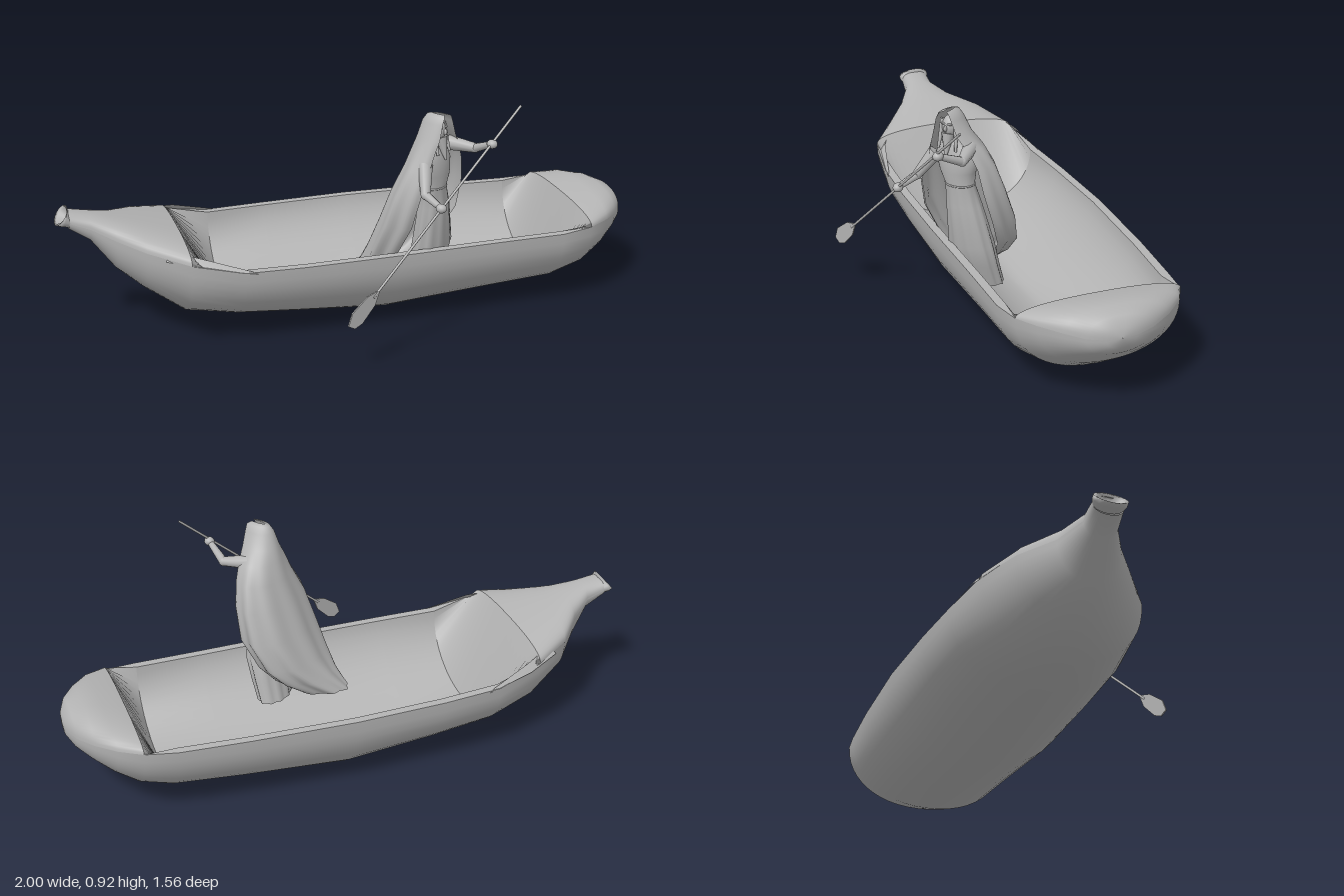
import * as THREE from 'three';

const stone = new THREE.MeshStandardMaterial({ color: 0xb4b4b4, side: THREE.DoubleSide });
stone.name = 'plain grey';
const V = (x, y, z) => new THREE.Vector3(x, y, z);

// Skin over a row of rings that all have the same point count
function loft(rings, closed = false) {
  const n = rings[0].length, pos = [], idx = [];
  rings.forEach(r => r.forEach(p => pos.push(p.x, p.y, p.z)));
  for (let i = 0; i < rings.length - 1; i++) {
    for (let j = 0; j < (closed ? n : n - 1); j++) {
      const a = i * n + j, b = i * n + (j + 1) % n;
      idx.push(a, b, a + n, b, b + n, a + n);
    }
  }
  const g = new THREE.BufferGeometry();
  g.setAttribute('position', new THREE.Float32BufferAttribute(pos, 3));
  g.setIndex(idx);
  g.computeVertexNormals();
  return g;
}

function add(parent, name, geometry) {
  const m = new THREE.Mesh(geometry, stone);
  m.name = name;
  parent.add(m);
  return m;
}

function ball(parent, name, p, rx, ry, rz) {
  const m = add(parent, name, new THREE.SphereGeometry(1, 16, 12));
  m.position.copy(p);
  m.scale.set(rx, ry, rz);
  return m;
}

// Tapered round limb or rod between two points
function rod(parent, name, a, b, ra, rb) {
  const d = b.clone().sub(a);
  const m = add(parent, name, new THREE.CylinderGeometry(rb, ra, d.length(), 10));
  m.position.copy(a).addScaledVector(d, 0.5);
  m.quaternion.setFromUnitVectors(V(0, 1, 0), d.normalize());
}

// Boat frame: u runs from stem to stern, v across
const P = (u, y, v) => V(0.81 * u + 0.588 * v, y, 0.588 * u - 0.81 * v);
const N = 24;
const pw = (x, e) => Math.sign(x) * Math.pow(Math.abs(x), e);
// Half section from rim to rim through height mid; e > 1 turns it towards a V
const section = (u, half, mid, rim, vc, e) => Array.from({ length: N + 1 }, (_, i) => {
  const t = Math.PI * i / N;
  return P(u, rim + (mid - rim) * pw(Math.sin(t), e), vc + half * pw(Math.cos(t), e));
});

// u, half width, keel, rim, crest, centre v, trough roundness
const stations = [
  [-1.17, 0.06, 0.47, 0.505, 0.54, 0.03],
  [-1.09, 0.066, 0.415, 0.475, 0.527, 0.025],
  [-1.0, 0.125, 0.29, 0.435, 0.503, 0.03],
  [-0.9, 0.22, 0.2, 0.405, 0.477, 0.045],
  [-0.75, 0.316, 0.1, 0.378, 0.437, 0.028],
  [-0.55, 0.355, 0.062, 0.333, 0, 0.045, 0.95],
  [-0.3, 0.368, 0.036, 0.33, 0, 0.05, 1.2],
  [0.07, 0.373, 0, 0.33, 0, 0.055, 1.3],
  [0.5, 0.36, 0.03, 0.33, 0, 0.05, 1.2],
  [0.78, 0.348, 0.05, 0.33, 0, 0.04, 0.95],
  [0.91, 0.328, 0.09, 0.338, 0.385, 0.04],
  [1.0, 0.278, 0.15, 0.342, 0.41, 0.04],
  [1.07, 0.205, 0.205, 0.335, 0.412, 0.035],
  [1.12, 0.13, 0.245, 0.325, 0.395, 0.025],
  [1.145, 0.06, 0.28, 0.32, 0.36, 0.02],
  [1.15, 0.001, 0.319, 0.32, 0.321, 0.02],
];

function buildBoat() {
  const boat = new THREE.Group();
  boat.name = 'boat';
  const lower = s => section(s[0], s[1], s[2], s[3], s[5], 0.92);
  const upper = s => section(s[0], s[1], s[4], s[3], s[5], 0.85);
  const trough = s => section(s[0], s[1] - 0.035, s[2] + 0.02, s[3], s[5], s[6]);
  add(boat, 'hull', loft(stations.map(lower)));
  add(boat, 'stemDeck', loft(stations.slice(0, 5).map(upper)));
  add(boat, 'sternDeck', loft(stations.slice(10).map(upper)));
  add(boat, 'troughInside', loft(stations.slice(5, 10).map(trough)));
  // End walls sloping from the trough up to each deck edge
  add(boat, 'stemEndWall', loft([upper(stations[4]), trough(stations[5])]));
  add(boat, 'sternEndWall', loft([trough(stations[9]), upper(stations[10])]));
  // Rim along each side, with a peeled flap by the stem
  for (const s of [1, -1]) {
    const rim = stations.slice(4, 11).map(([u, h, , y, , c], i) =>
      [P(u, y, c + s * h), P(u, y, c + s * (h - (i === 0 || i === 6 ? 0 : 0.035)))]);
    add(boat, 'rim', loft(rim));
    add(boat, 'stemFlap', loft([
      [P(-0.84, 0.385, 0.04 + s * 0.268), P(-0.81, 0.415, 0.04 + s * 0.25)],
      [P(-0.7, 0.36, 0.04 + s * 0.33), P(-0.7, 0.392, 0.04 + s * 0.305)],
      [P(-0.5, 0.325, 0.045 + s * 0.36), P(-0.52, 0.335, 0.045 + s * 0.35)],
    ]));
  }
  // Hollow stem tip, tilted up and outward
  const tipRing = (u, y, r, lift) => Array.from({ length: 16 }, (_, i) => {
    const a = i / 16 * Math.PI * 2, k = Math.sin(a);
    return P(u + k * lift, y + k * r * 0.5, 0.03 + Math.cos(a) * r);
  });
  add(boat, 'stemTip', loft([
    tipRing(-1.165, 0.506, 0.06, 0), tipRing(-1.185, 0.515, 0.068, 0.012),
    tipRing(-1.195, 0.522, 0.066, 0.026), tipRing(-1.19, 0.52, 0.05, 0.022),
    tipRing(-1.17, 0.51, 0.035, 0.01), tipRing(-1.165, 0.508, 0.001, 0),
  ], true));
  return boat;
}

function buildRower() {
  const rower = new THREE.Group();
  rower.name = 'rower';
  // Robe: y, centre x, centre z, half width, half depth, fold depth
  const robe = [
    [0.15, 0.095, 0.255, 0.085, 0.055, 0.06], [0.24, 0.085, 0.285, 0.09, 0.06, 0.06],
    [0.33, 0.075, 0.31, 0.095, 0.068, 0.05],
    [0.5, 0.055, 0.33, 0.072, 0.058, 0.03], [0.585, 0.04, 0.335, 0.06, 0.05, 0],
    [0.64, 0.035, 0.34, 0.075, 0.058, 0], [0.7, 0.03, 0.34, 0.09, 0.055, 0],
    [0.745, 0.027, 0.345, 0.065, 0.042, 0], [0.77, 0.022, 0.35, 0.025, 0.025, 0],
    [0.81, 0.02, 0.355, 0.022, 0.022, 0],
  ].map(([y, cx, cz, rx, rz, f]) => Array.from({ length: 40 }, (_, i) => {
    const a = i / 40 * Math.PI * 2, k = 1 + f * Math.cos(a * 10);
    return V(cx + Math.cos(a) * rx * k, y, cz + Math.sin(a) * rz * k);
  }));
  add(rower, 'robe', loft(robe, true));
  const belt = add(rower, 'belt', new THREE.TorusGeometry(0.059, 0.004, 6, 28));
  belt.position.set(0.04, 0.585, 0.335);
  belt.rotation.x = Math.PI / 2;
  belt.scale.y = 0.85;
  // Hooded cloak, open at the front: y, left x, right x, back z, front z, fold depth
  const cloak = [
    [0.892, 0.012, 0.028, 0.34, 0.4, 0], [0.886, -0.01, 0.05, 0.318, 0.412, 0],
    [0.86, -0.025, 0.065, 0.3, 0.412, 0], [0.8, -0.045, 0.095, 0.28, 0.41, 0],
    [0.75, -0.07, 0.145, 0.26, 0.4, 0.02], [0.68, -0.1, 0.19, 0.235, 0.39, 0.04],
    [0.58, -0.15, 0.22, 0.195, 0.38, 0.06], [0.45, -0.162, 0.242, 0.145, 0.345, 0.08],
    [0.33, -0.15, 0.215, 0.095, 0.275, 0.09], [0.25, -0.125, 0.15, 0.05, 0.235, 0.1],
    [0.18, -0.105, 0.06, -0.005, 0.2, 0.1],
  ].map(([y, xl, xr, zb, zf, f], row) => Array.from({ length: 49 }, (_, i) => {
    const a = (i / 48 - 0.5) * Math.PI * 1.42, k = 1 - f * (0.5 - 0.5 * Math.cos(a * 9));
    const rx = (xr - xl) / 2, rz = (zf - zb) / 1.61;
    const skew = -0.045 * Math.max(0, row - 6) / 4 * Math.max(0, Math.cos(a));
    return V((xl + xr) / 2 + Math.sin(a) * rx * k + skew, y, zb + rz - Math.cos(a) * rz * k);
  }));
  add(rower, 'cloak', loft(cloak));
  // Head with nose, beard and hair locks
  ball(rower, 'head', V(0.02, 0.825, 0.36), 0.034, 0.045, 0.04);
  ball(rower, 'nose', V(0.02, 0.823, 0.401), 0.006, 0.013, 0.009);
  rod(rower, 'beard', V(0.02, 0.8, 0.382), V(0.022, 0.71, 0.405), 0.026, 0.004);
  for (const s of [-1, 1]) {
    rod(rower, 'hairLock', V(0.02 + s * 0.03, 0.85, 0.37), V(0.022 + s * 0.04, 0.735, 0.395), 0.012, 0.005);
    ball(rower, 'brow', V(0.02 + s * 0.014, 0.84, 0.393), 0.011, 0.004, 0.006);
  }
  // Arms: shoulder, elbow, hand
  const arms = [
    [V(0.105, 0.75, 0.36), V(0.14, 0.738, 0.465), V(0.1, 0.785, 0.565)],
    [V(-0.055, 0.7, 0.36), V(-0.115, 0.605, 0.405), V(-0.14, 0.578, 0.495)],
  ];
  for (const [s, e, h] of arms) {
    rod(rower, 'upperArm', s, e, 0.03, 0.019);
    ball(rower, 'elbow', e, 0.019, 0.019, 0.019);
    rod(rower, 'forearm', e, h, 0.018, 0.012);
    ball(rower, 'hand', h, 0.02, 0.018, 0.022);
  }
  return rower;
}

function buildPaddle() {
  const paddle = new THREE.Group();
  paddle.name = 'paddle';
  const top = V(0.23, 0.915, 0.61), low = V(-0.45, 0.295, 0.402);
  rod(paddle, 'shaft', top, low, 0.005, 0.005);
  // Flat blade lying in the vertical plane of the shaft
  const shape = new THREE.Shape([[-0.03, 0.005], [0.015, 0.028], [0.1, 0.036], [0.145, 0.012],
    [0.135, -0.02], [0.1, -0.034], [0.015, -0.028], [-0.03, -0.005]].map(p => new THREE.Vector2(...p)));
  const g = new THREE.ExtrudeGeometry(shape, { depth: 0.006, bevelEnabled: false });
  g.translate(0, 0, -0.003);
  const d = low.clone().sub(top).normalize();
  const side = d.clone().cross(V(0, 1, 0)).normalize();
  const up = side.clone().cross(d);
  const blade = add(paddle, 'blade', g);
  blade.quaternion.setFromRotationMatrix(new THREE.Matrix4().makeBasis(d, up, side));
  blade.position.copy(low);
  return paddle;
}

export function createModel() {
  const model = new THREE.Group();
  model.name = 'rowerInBoat';
  model.add(buildBoat(), buildRower(), buildPaddle());
  return model;
}
